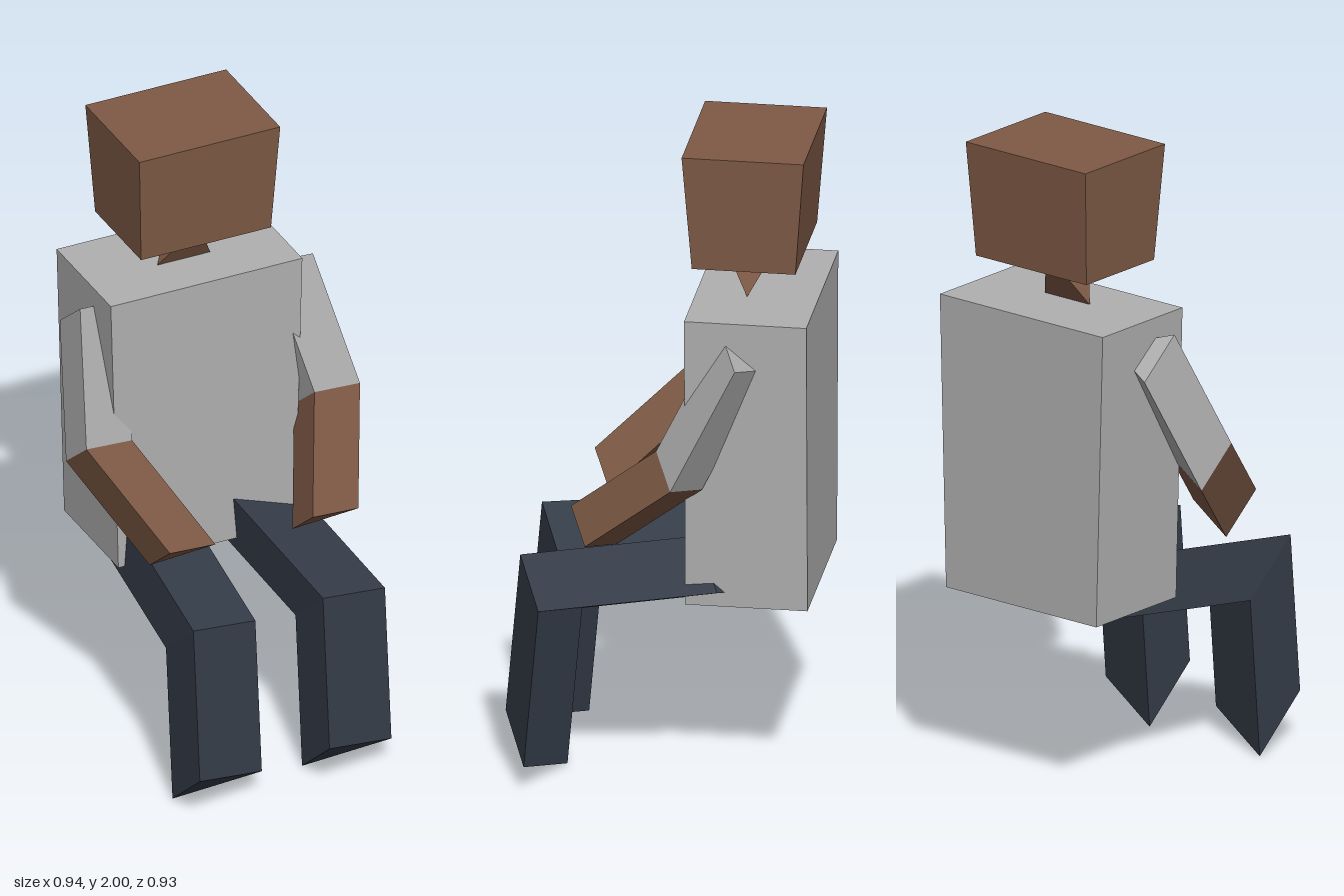
import * as THREE from 'three';

const skin = new THREE.MeshStandardMaterial({ color: 0x7f5a46 });
skin.name = 'brown skin';
const shirt = new THREE.MeshStandardMaterial({ color: 0xb0b0b0 });
shirt.name = 'grey shirt';
const trousers = new THREE.MeshStandardMaterial({ color: 0x363e4a });
trousers.name = 'dark blue trousers';

// Joins matching cross-sections into a closed, flat-shaded solid.
// Corners run counter-clockwise about the direction of travel.
function loft(name, sections, material) {
  const positions = [];
  const triangle = (...corners) => corners.forEach((c) => positions.push(...c));
  const n = sections[0].length;
  for (let s = 0; s < sections.length - 1; s++) {
    const a = sections[s], b = sections[s + 1];
    for (let i = 0; i < n; i++) {
      const j = (i + 1) % n;
      triangle(a[i], a[j], b[j]);
      triangle(a[i], b[j], b[i]);
    }
  }
  const first = sections[0], last = sections[sections.length - 1];
  for (let i = 1; i < n - 1; i++) {
    triangle(first[0], first[i + 1], first[i]);
    triangle(last[0], last[i], last[i + 1]);
  }
  const geometry = new THREE.BufferGeometry();
  geometry.setAttribute('position', new THREE.Float32BufferAttribute(positions, 3));
  geometry.computeVertexNormals();
  const mesh = new THREE.Mesh(geometry, material);
  mesh.name = name;
  return mesh;
}

// Horizontal rectangle at height y
const rect = (y, x0, x1, z0, z1) => [[x0, y, z1], [x1, y, z1], [x1, y, z0], [x0, y, z0]];

// Three-sided limb section: front corner plus the two other corners' offsets
const wedge = (side, back) => (p) => [
  p,
  p.map((v, i) => v + side[i]),
  p.map((v, i) => v + back[i]),
];
const armSection = wedge([0.185, -0.055, -0.07], [0, -0.115, -0.138]);
const legSection = wedge([0.25, -0.08, -0.092], [0, -0.16, -0.186]);

export function createModel() {
  const model = new THREE.Group();
  model.name = 'seatedFigure';

  // Torso, neck (a twisted wedge) and head
  model.add(
    loft('torso', [rect(0.595, -0.325, 0.26, -0.468, -0.1), rect(1.51, -0.35, 0.284, -0.468, -0.1)], shirt),
    loft('neck', [rect(1.508, -0.12, 0.055, -0.255, -0.255), rect(1.68, -0.033, -0.033, -0.355, -0.155)], skin),
    loft('head', [rect(1.64, -0.246, 0.184, -0.42, -0.108), rect(2, -0.265, 0.201, -0.447, -0.08)], skin),
  );

  // Arms: bare forearm and sleeve
  const arms = {
    left: [[0.142, 0.843, 0.262], [0.283, 1.09, -0.016], [0.217, 1.458, -0.2]],
    right: [[-0.331, 0.843, 0.262], [-0.471, 1.09, -0.018], [-0.403, 1.462, -0.2]],
  };
  for (const [side, path] of Object.entries(arms)) {
    const [hand, elbow, shoulder] = path.map(armSection);
    model.add(
      loft(`${side}Forearm`, [hand, elbow], skin),
      loft(`${side}Sleeve`, [elbow, shoulder], shirt),
    );
  }

  // Legs: ankle, knee, hip
  const legs = {
    left: [[0.098, 0.16, 0.465], [0.098, 0.66, 0.421], [0.055, 0.735, -0.11]],
    right: [[-0.331, 0.16, 0.465], [-0.331, 0.66, 0.421], [-0.294, 0.735, -0.11]],
  };
  for (const [side, path] of Object.entries(legs)) {
    model.add(loft(`${side}Leg`, path.map(legSection), trousers));
  }

  return model;
}
